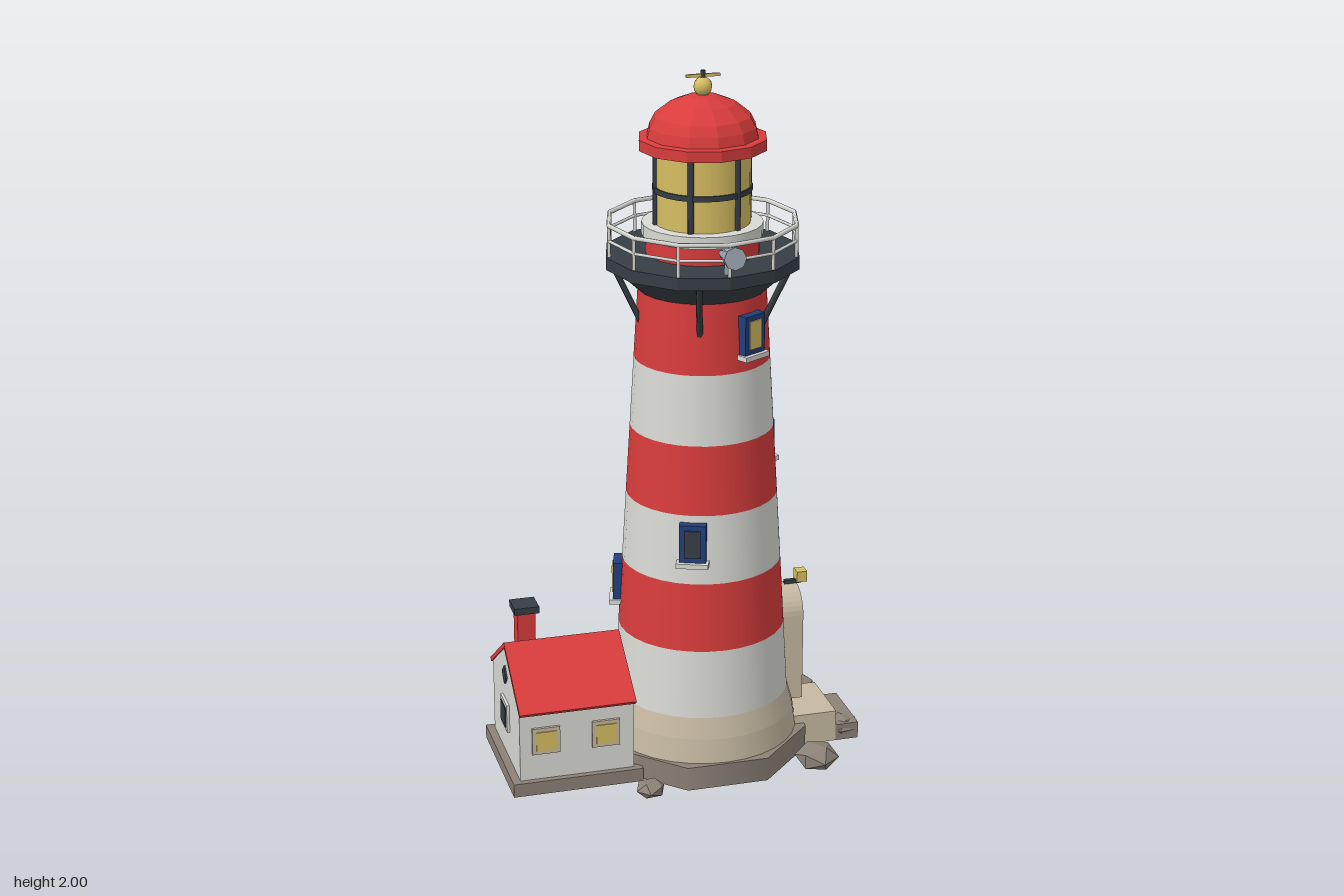
import * as THREE from 'three';

const mat = (name, color) => {
  const m = new THREE.MeshStandardMaterial({ color });
  m.name = name;
  return m;
};

export function createModel() {
  const red = mat('red', 0xd93c3c), white = mat('white', 0xd9dad5), beige = mat('beige', 0xc6b9a2);
  const stone = mat('stone', 0x8c8277), dark = mat('charcoal', 0x363d44), blue = mat('blue', 0x213f7c);
  const yellow = mat('yellow', 0xd6be62), steel = mat('steel', 0x98a4b0);

  const model = new THREE.Group();
  model.name = 'lighthouse';
  const group = (name, parent) => {
    const g = new THREE.Group();
    g.name = name;
    parent.add(g);
    return g;
  };
  const add = (parent, name, geo, material, x = 0, y = 0, z = 0) => {
    const m = new THREE.Mesh(geo, material);
    m.name = name;
    m.position.set(x, y, z);
    parent.add(m);
    return m;
  };
  const box = (w, h, d) => new THREE.BoxGeometry(w, h, d);
  const flat = (geo) => {
    const g = geo.index ? geo.toNonIndexed() : geo;
    g.computeVertexNormals();
    return g;
  };
  // Cylinder standing between two heights
  const drum = (parent, name, y0, y1, r0, r1, material, sides = 32, open = false) =>
    add(parent, name, new THREE.CylinderGeometry(r1, r0, y1 - y0, sides, 1, open), material, 0, (y0 + y1) / 2, 0);
  // Straight rod between two points
  const rod = (parent, name, a, b, r, material) => {
    const d = b.clone().sub(a);
    const m = add(parent, name, new THREE.CylinderGeometry(r, r, d.length(), 6), material);
    m.position.copy(a).add(b).multiplyScalar(0.5);
    m.quaternion.setFromUnitVectors(new THREE.Vector3(0, 1, 0), d.normalize());
    return m;
  };
  const polar = (deg, r, y) => {
    const a = THREE.MathUtils.degToRad(deg);
    return new THREE.Vector3(Math.sin(a) * r, y, Math.cos(a) * r);
  };

  // ---- Tower ----
  const tower = group('tower', model);
  tower.position.set(0.064, 0, 0.009);
  const plinth = drum(tower, 'plinth', 0, 0.07, 0.307, 0.307, stone, 8);
  plinth.rotation.y = Math.PI / 8;
  drum(tower, 'footLower', 0.07, 0.14, 0.276, 0.266, beige);
  drum(tower, 'footUpper', 0.14, 0.2, 0.266, 0.25, beige);
  const wallRadius = (y) => 0.25 - (y - 0.2) * 0.06;
  for (let i = 0; i < 6; i++) {
    const y = 0.2 + i * 0.2;
    drum(tower, 'band', y, y + 0.2, wallRadius(y), wallRadius(y + 0.2), i % 2 ? red : white, 32, true);
  }

  // Tower windows: angle from the front, height, pane
  const windows = [[29, 1.3, yellow], [-22, 0.72, dark], [109, 0.91, yellow],
    [206, 1.11, dark], [145, 1.3, dark], [253, 0.52, yellow]];
  for (const [deg, y, pane] of windows) {
    const w = group('towerWindow', tower);
    w.position.copy(polar(deg, wallRadius(y), y));
    w.rotation.y = THREE.MathUtils.degToRad(deg);
    add(w, 'windowFrame', box(0.075, 0.11, 0.04), blue, 0, 0.005);
    add(w, 'windowPane', box(0.045, 0.08, 0.006), pane, 0, 0.005, 0.021);
    add(w, 'windowSill', box(0.09, 0.014, 0.056), white, 0, -0.057, 0.004);
  }

  // ---- Entrance ----
  const arch = (w, h, d) => {
    const s = new THREE.Shape();
    s.moveTo(-w / 2, 0);
    s.lineTo(w / 2, 0);
    s.lineTo(w / 2, h - w / 2);
    s.absarc(0, h - w / 2, w / 2, 0, Math.PI, false);
    s.lineTo(-w / 2, 0);
    return new THREE.ExtrudeGeometry(s, { depth: d, bevelEnabled: false, curveSegments: 8 });
  };
  const entrance = group('entrance', tower);
  entrance.rotation.y = Math.PI / 2;
  add(entrance, 'portal', arch(0.146, 0.335, 0.11), beige, 0, 0.14, 0.176);
  add(entrance, 'door', arch(0.094, 0.262, 0.008), blue, 0, 0.155, 0.285);
  add(entrance, 'doorKnob', new THREE.SphereGeometry(0.008, 8, 6), yellow, 0.028, 0.267, 0.297);
  add(entrance, 'lampArm', box(0.012, 0.012, 0.05), dark, 0, 0.48, 0.275);
  add(entrance, 'doorLamp', box(0.034, 0.032, 0.03), yellow, 0, 0.497, 0.299);
  add(entrance, 'upperStep', box(0.2, 0.095, 0.13), beige, 0, 0.0475, 0.318);
  add(entrance, 'lowerStep', box(0.2, 0.05, 0.07), stone, 0, 0.025, 0.417);

  // ---- Gallery ----
  const gallery = group('gallery', tower);
  drum(gallery, 'galleryFlare', 1.4, 1.465, 0.18, 0.25, dark, 24);
  const deck = drum(gallery, 'galleryDeck', 1.465, 1.5, 0.272, 0.272, dark, 12);
  deck.geometry = flat(deck.geometry);
  for (let i = 0; i < 5; i++) {
    const a = -90 + i * 72;
    rod(gallery, 'bracket', polar(a, 0.175, 1.31), polar(a, 0.25, 1.47), 0.009, dark);
  }
  for (let i = 0; i < 12; i++) {
    const a = i * 30;
    rod(gallery, 'railPost', polar(a, 0.263, 1.5), polar(a, 0.263, 1.59), 0.005, white);
  }
  for (const [y, r] of [[1.588, 0.0065], [1.545, 0.0045]]) {
    const ring = new THREE.TorusGeometry(0.263, r, 6, 12);
    add(gallery, 'rail', ring.rotateX(Math.PI / 2), white, 0, y);
  }

  // Fog horn pointing over the rail
  const horn = group('fogHorn', gallery);
  horn.position.set(0, 1.556, 0.255);
  horn.rotation.x = -0.15;
  add(horn, 'hornBell', flat(new THREE.CylinderGeometry(0.031, 0.018, 0.085, 8).rotateX(Math.PI / 2)), steel, 0, 0, 0.018);
  add(horn, 'hornBack', flat(new THREE.CylinderGeometry(0.018, 0.012, 0.035, 8).rotateX(Math.PI / 2)), steel, 0, 0, -0.04);
  rod(gallery, 'hornStand', new THREE.Vector3(0, 1.5, 0.235), new THREE.Vector3(0, 1.555, 0.235), 0.008, steel);

  // ---- Lantern room ----
  const lantern = group('lanternRoom', tower);
  drum(lantern, 'lanternBase', 1.5, 1.55, 0.157, 0.157, red, 24);
  drum(lantern, 'lanternCurb', 1.55, 1.583, 0.167, 0.167, white, 24);
  drum(lantern, 'lanternGlass', 1.583, 1.795, 0.132, 0.132, yellow, 24);
  drum(lantern, 'glazingRing', 1.672, 1.687, 0.137, 0.137, dark, 24);
  for (let i = 0; i < 6; i++) {
    const a = 30 + i * 60;
    rod(lantern, 'glazingBar', polar(a, 0.131, 1.58), polar(a, 0.131, 1.8), 0.009, dark);
  }

  // Faceted dome with brim
  const dome = [[0, 1.79], [0.178, 1.79], [0.178, 1.82], [0.155, 1.822], [0.148, 1.85], [0.133, 1.878],
    [0.09, 1.912], [0.04, 1.932], [0, 1.936]].map(([r, y]) => new THREE.Vector2(r, y));
  add(lantern, 'domeRoof', flat(new THREE.LatheGeometry(dome, 12)), red);
  drum(lantern, 'finialCollar', 1.925, 1.942, 0.018, 0.014, yellow, 10);
  add(lantern, 'finialBall', new THREE.SphereGeometry(0.026, 10, 8), yellow, 0, 1.956);
  drum(lantern, 'finialRod', 1.975, 2.0, 0.007, 0.007, dark, 6);
  add(lantern, 'vane', box(0.095, 0.008, 0.008), yellow, 0, 1.986);

  // ---- Keeper's house ----
  const house = group('house', model);
  house.position.set(-0.348, 0, 0.009);
  add(house, 'houseBase', box(0.376, 0.04, 0.386), stone, 0, 0.02);
  // Outline in z and y, pushed along x
  const prism = (points, length) => {
    const s = new THREE.Shape(points.map(([x, y]) => new THREE.Vector2(x, y)));
    return new THREE.ExtrudeGeometry(s, { depth: length, bevelEnabled: false })
      .translate(0, 0, -length / 2).rotateY(Math.PI / 2);
  };
  add(house, 'houseWalls', prism([[-0.175, 0.04], [0.175, 0.04], [0.175, 0.257], [0, 0.376], [-0.175, 0.257]], 0.33), white);
  add(house, 'houseRoof', prism([[-0.198, 0.255], [-0.19, 0.245], [0, 0.374], [0.19, 0.245],
    [0.198, 0.255], [0, 0.39]], 0.336), red);
  add(house, 'chimney', box(0.052, 0.12, 0.052), red, -0.088, 0.385, -0.087);
  add(house, 'chimneyCap', box(0.072, 0.02, 0.072), dark, -0.088, 0.455, -0.087);

  const houseWindow = (x, y, z, turn, size, frame, pane) => {
    const w = group('houseWindow', house);
    w.position.set(x, y, z);
    w.rotation.y = turn;
    add(w, 'houseWindowFrame', box(size, size, 0.016), frame);
    add(w, 'houseWindowPane', box(size * 0.72, size * 0.72, 0.006), pane, 0, 0, 0.008);
    return w;
  };
  houseWindow(-0.09, 0.16, 0.175, 0, 0.08, beige, yellow);
  houseWindow(0.083, 0.16, 0.175, 0, 0.08, beige, yellow);
  houseWindow(0.095, 0.165, -0.175, Math.PI, 0.075, white, dark);
  houseWindow(-0.165, 0.17, 0, -Math.PI / 2, 0.085, white, dark);
  const vent = add(house, 'gableVent', box(0.008, 0.04, 0.04), dark, -0.166, 0.29, 0);
  vent.rotation.x = Math.PI / 4;
  add(house, 'houseDoor', box(0.07, 0.16, 0.012), blue, 0, 0.12, -0.177);
  add(house, 'houseDoorKnob', new THREE.SphereGeometry(0.006, 8, 6), yellow, -0.022, 0.12, -0.186);
  add(house, 'houseStep', box(0.102, 0.035, 0.06), beige, 0, 0.0175, -0.215);

  // ---- Rocks: x, z, radius, height, turn ----
  const rocks = [[-0.07, -0.288, 0.054, 0.06, 0.4], [0.397, -0.19, 0.087, 0.085, 1.1], [0.342, 0.25, 0.064, 0.07, 2.2],
    [-0.163, 0.29, 0.044, 0.045, 0.8], [0.48, 0.07, 0.05, 0.055, 1.7]];
  for (const [x, z, r, h, turn] of rocks) {
    const rock = add(model, 'rock', flat(new THREE.IcosahedronGeometry(1, 0)), stone, x, h * 0.5, z);
    rock.scale.set(r, h * 0.58, r);
    rock.rotation.y = turn;
  }
  return model;
}
